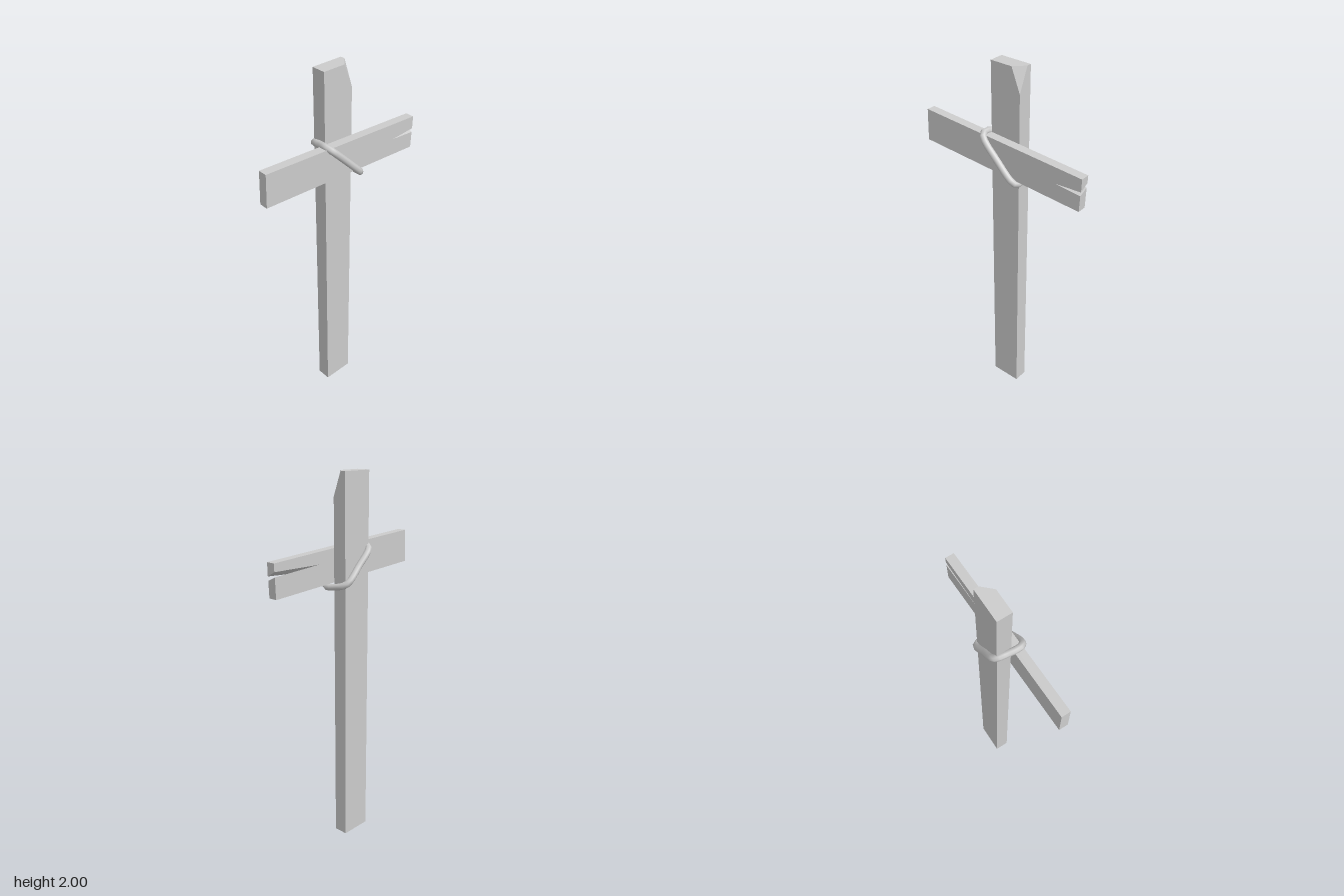
import * as THREE from 'three';

// Flat-faced solid from polygons; each polygon is fanned from its first corner.
function polyMesh(name, faces) {
  const pos = [];
  for (const f of faces)
    for (let i = 1; i < f.length - 1; i++) pos.push(...f[0], ...f[i], ...f[i + 1]);
  const geo = new THREE.BufferGeometry();
  geo.setAttribute('position', new THREE.Float32BufferAttribute(pos, 3));
  geo.computeVertexNormals();
  const mesh = new THREE.Mesh(geo, new THREE.MeshStandardMaterial({
    color: 0xcccccc, flatShading: true, side: THREE.DoubleSide }));
  mesh.name = name;
  return mesh;
}

// Upright plank with one chipped top corner, open underneath
function makePost() {
  const F = 0.01, B = -0.067;
  const b0 = [-0.085, 0, F], b1 = [0.085, 0, F], b2 = [0.085, 0, B], b3 = [-0.085, 0, B];
  const t0 = [-0.088, 2, F], t2 = [0.085, 2, B], t3 = [-0.088, 2, B];
  const chipFront = [0.035, 2, F], chipSide = [0.085, 2, -0.042], chipLow = [0.085, 1.877, F];
  return polyMesh('post', [
    [b0, b1, chipLow, chipFront, t0],
    [b1, b2, t2, chipSide, chipLow],
    [b2, b3, t3, t2],
    [b3, b0, t0, t3],
    [t0, chipFront, chipSide, t2, t3],
    [chipFront, chipLow, chipSide],
  ]);
}

// Tilted crossbar with a split end; the split runs deeper at the back
function makeCrossbar() {
  const outline = (z, tip, upper, lower) => [
    tip, upper, [0.483, 1.605], [-0.48, 1.655], [-0.487, 1.48], [0.477, 1.43], lower,
  ].map(([x, y]) => [x, y, z]);
  const front = outline(0.058, [0.335, 1.527], [0.482, 1.537], [0.48, 1.516]);
  const back = outline(0.01, [0.19, 1.557], [0.482, 1.564], [0.48, 1.539]);
  const faces = [front, [back[0], ...back.slice(1).reverse()]];
  front.forEach((p, i) => {
    const j = (i + 1) % front.length;
    faces.push([p, back[i], back[j], front[j]]);
  });
  return polyMesh('crossbar', faces);
}

// Rope loop lashed diagonally around both planks
function makeRope() {
  const path = [
    [-0.115, -0.073], [0, -0.08], [0.115, -0.073], [0.145, -0.005], [0.15, 0.04], [0.135, 0.066],
    [0, 0.075], [-0.135, 0.066], [-0.153, 0.038], [-0.143, -0.005],
  ].map(([u, z]) => new THREE.Vector3(u * 0.707, 1.533 - u * 0.707, z));
  const curve = new THREE.CatmullRomCurve3(path, true);
  const mesh = new THREE.Mesh(
    new THREE.TubeGeometry(curve, 32, 0.018, 8, true),
    new THREE.MeshStandardMaterial({ color: 0xcccccc }));
  mesh.name = 'ropeBinding';
  return mesh;
}

export function createModel() {
  const group = new THREE.Group();
  group.name = 'woodenCross';
  group.add(makePost(), makeCrossbar(), makeRope());
  return group;
}
